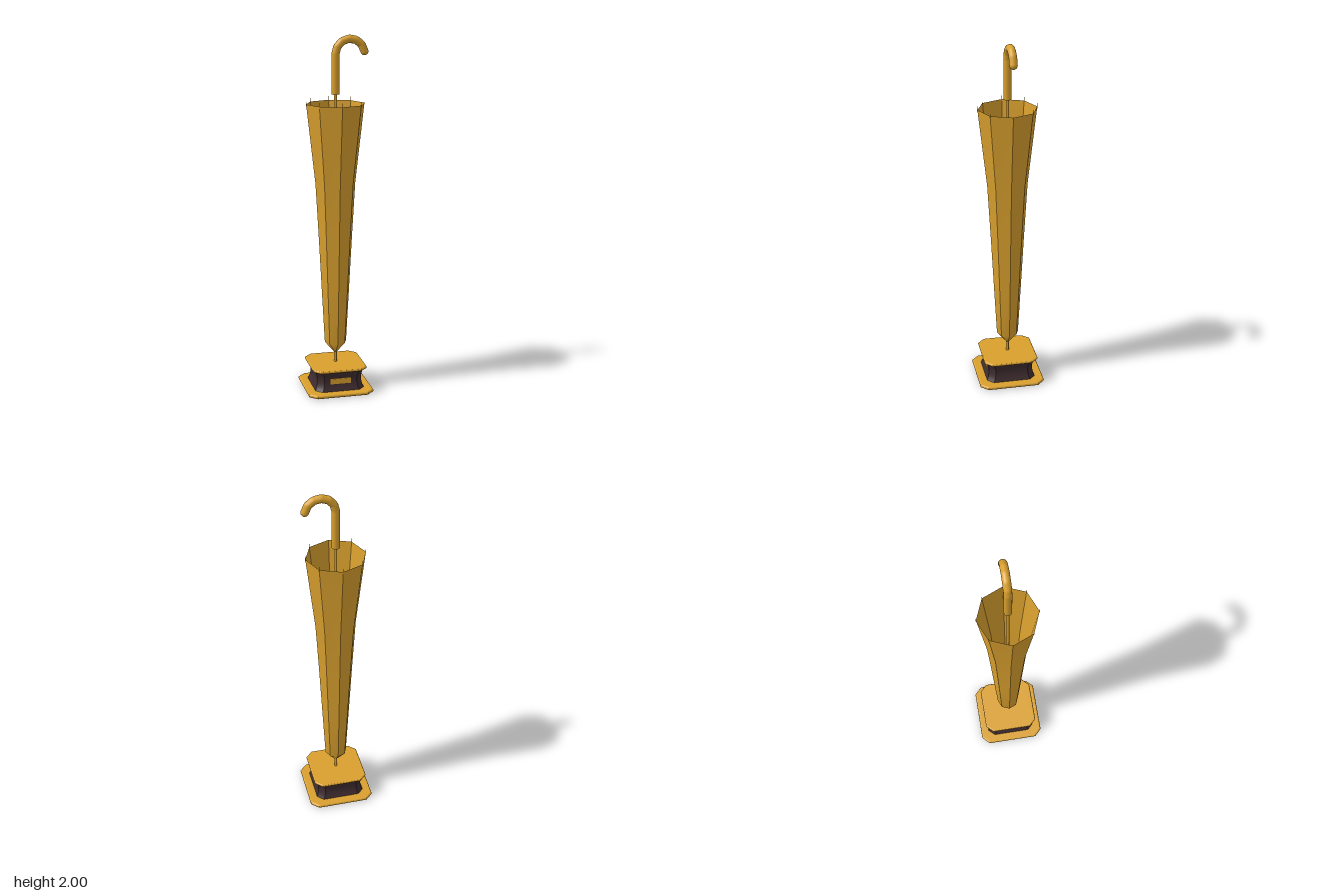
import * as THREE from 'three';
import { mergeGeometries } from 'three/addons/utils/BufferGeometryUtils.js';

// Square with cut corners, listed counter-clockwise.
function cutSquare(half, cut) {
  const k = half - cut;
  return [[-k, half], [k, half], [half, k], [half, -k], [k, -half], [-k, -half], [-half, -k], [-half, k]];
}

// Octagon with corners on the axes, in the same order.
function octagon(radius) {
  return Array.from({ length: 8 }, (_, i) => {
    const a = (i * Math.PI) / 4;
    return [radius * Math.sin(a), radius * Math.cos(a)];
  });
}

// Joins rings { y, pts } panel by panel: creased between panels, smooth along each one.
function loft(rings) {
  const sides = rings[0].pts.length;
  const panels = [];
  for (let s = 0; s < sides; s++) {
    const pos = [], index = [];
    rings.forEach(({ y, pts }, r) => {
      const a = pts[s], b = pts[(s + 1) % sides];
      pos.push(a[0], y, a[1], b[0], y, b[1]);
      if (r > 0) {
        const i = 2 * (r - 1);
        index.push(i, i + 1, i + 3, i, i + 3, i + 2);
      }
    });
    const g = new THREE.BufferGeometry();
    g.setAttribute('position', new THREE.Float32BufferAttribute(pos, 3));
    g.setIndex(index);
    g.computeVertexNormals();
    panels.push(g);
  }
  return mergeGeometries(panels);
}

// Flat plate with cut corners and a rounded rim.
function plate(half, cut, y0, y1) {
  const bevel = (y1 - y0) / 2 - 0.001;
  const shape = new THREE.Shape(cutSquare(half - bevel, cut).map(([x, z]) => new THREE.Vector2(x, z)));
  const g = new THREE.ExtrudeGeometry(shape, {
    depth: 0.002, bevelEnabled: true, bevelThickness: bevel, bevelSize: bevel, bevelSegments: 4,
  });
  return g.rotateX(-Math.PI / 2).translate(0, y0 + bevel, 0);
}

export function createModel() {
  const gold = new THREE.MeshStandardMaterial({ color: 0xd9a02e });
  const fabric = new THREE.MeshStandardMaterial({ color: 0xd9a02e, side: THREE.DoubleSide });
  const darkWood = new THREE.MeshStandardMaterial({ color: 0x402d30 });
  gold.name = 'gold';
  fabric.name = 'gold fabric';
  darkWood.name = 'dark wood';

  const model = new THREE.Group();
  model.name = 'umbrellaTrophy';
  const add = (name, geometry, material, parent = model) => {
    const mesh = new THREE.Mesh(geometry, material);
    mesh.name = name;
    parent.add(mesh);
    return mesh;
  };

  // Pedestal: two plates around a waisted block
  const base = new THREE.Group();
  base.name = 'pedestal';
  model.add(base);
  add('bottomPlate', plate(0.187, 0.036, 0, 0.02), gold, base);
  add('topPlate', plate(0.155, 0.036, 0.133, 0.149), gold, base);
  const waist = [];
  for (let i = 0; i <= 8; i++) {
    const t = i / 8;
    const half = 0.127 + 0.014 * (2 * t - 1) ** 2;
    waist.push({ y: 0.018 + 0.118 * t, pts: cutSquare(half, 0.034) });
  }
  add('waistBlock', loft(waist), darkWood, base);
  add('namePlate', new THREE.BoxGeometry(0.118, 0.032, 0.008), gold, base).position.set(0, 0.077, 0.1275);

  // Shaft
  add('shaft', new THREE.CylinderGeometry(0.008, 0.008, 1.56, 16), gold).position.y = 0.92;

  // Half-closed canopy, open at the top
  const profile = [[0.208, 0.009], [0.27, 0.062], [0.58, 0.079], [0.88, 0.095], [1.19, 0.113], [1.63, 0.163]];
  add('canopy', loft(profile.map(([y, r]) => ({ y, pts: octagon(r) }))), fabric);

  // Fine rib tips standing above the canopy corners
  const ribs = new THREE.Group();
  ribs.name = 'ribTips';
  model.add(ribs);
  octagon(0.163).forEach(([x, z]) => {
    add('ribTip', new THREE.CylinderGeometry(0.0008, 0.0015, 0.03, 6), gold, ribs).position.set(x, 1.635, z);
  });

  // Crook handle: straight grip, then a faceted hook
  const hook = new THREE.CurvePath();
  const pts = [new THREE.Vector3(0, 1.682, 0)];
  const R = 0.081, steps = 6, endAngle = 0.05 * Math.PI;
  for (let i = 0; i <= steps; i++) {
    const a = Math.PI - (i / steps) * (Math.PI - endAngle);
    pts.push(new THREE.Vector3(R + R * Math.cos(a), 1.897 + R * Math.sin(a), 0));
  }
  for (let i = 1; i < pts.length; i++) hook.add(new THREE.LineCurve3(pts[i - 1], pts[i]));
  const handle = new THREE.Group();
  handle.name = 'handle';
  model.add(handle);
  add('crook', new THREE.TubeGeometry(hook, 72, 0.022, 16), gold, handle);
  add('crookEnd', new THREE.SphereGeometry(0.022, 16, 12), gold, handle).position.copy(pts[pts.length - 1]);
  add('gripEnd', new THREE.CylinderGeometry(0.022, 0.022, 0.006, 16), gold, handle).position.y = 1.683;

  return model;
}
